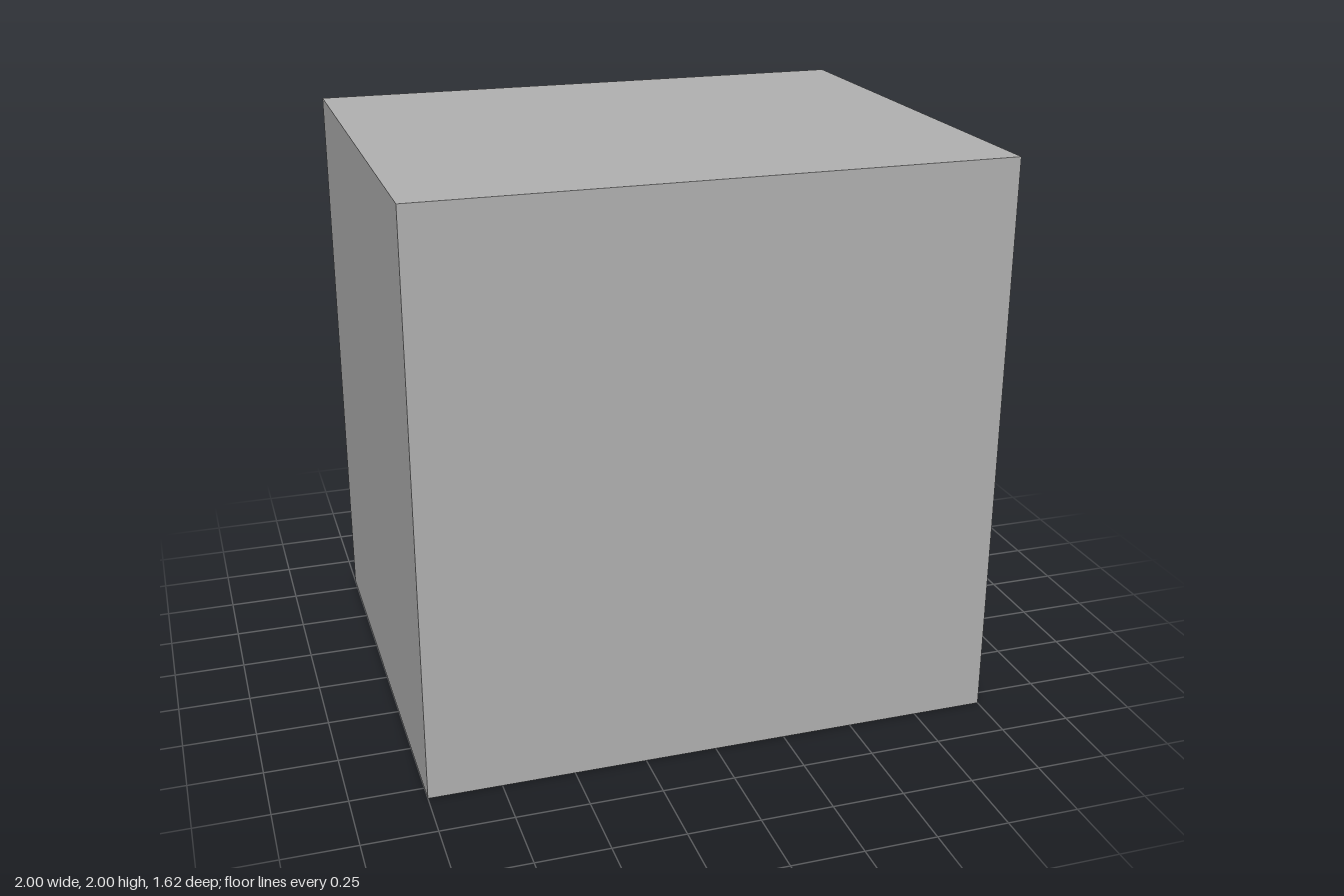
import * as THREE from 'three';

export function createModel() {
  const model = new THREE.Group();
  model.name = 'cabinet';
  const grey = new THREE.MeshStandardMaterial({ color: 0xb2b2b2, side: THREE.DoubleSide });
  grey.name = 'plainGrey';

  const T = 0.125;             // wall thickness
  const H = 2, W = 1, D = 0.8125; // height, half width, half depth
  const inX = W - T, inZ = D - T; // inner half width, inner front wall

  const add = (name, geometry, x, y, z) => {
    const mesh = new THREE.Mesh(geometry, grey);
    mesh.name = name;
    mesh.position.set(x, y, z);
    model.add(mesh);
  };
  // Single-skin panels facing z, x and y
  const panelZ = (name, w, y0, y1, z) =>
    add(name, new THREE.PlaneGeometry(w, y1 - y0), 0, (y0 + y1) / 2, z);
  const panelX = (name, x, y0, y1, z0, z1, turn) =>
    add(name, new THREE.PlaneGeometry(z1 - z0, y1 - y0).rotateY(turn * Math.PI / 2),
      x, (y0 + y1) / 2, (z0 + z1) / 2);
  const panelY = (name, w, y, z0, z1, turn) =>
    add(name, new THREE.PlaneGeometry(w, z1 - z0).rotateX(-turn * Math.PI / 2),
      0, y, (z0 + z1) / 2);

  // Outer shell, open underneath
  panelZ('frontPanel', 2 * W, 0, H, D);
  panelY('topPanel', 2 * W, H, -D, D, 1);

  // Outer and inner side walls; the inner ones reach the ground
  for (const [side, s] of [['left', 1], ['right', -1]]) {
    panelX(side + 'OuterWall', s * W, 0, H, -D, D, s);
    panelX(side + 'InnerWall', s * inX, 0, H - T, -D, inZ, -s);
  }

  // Lining of the compartment
  panelY('compartmentFloor', 2 * inX, T, -D, inZ, 1);
  panelY('compartmentCeiling', 2 * inX, H - T, -D, inZ, -1);
  add('compartmentEndWall', new THREE.PlaneGeometry(2 * inX, H - 2 * T).rotateY(Math.PI), 0, H / 2, inZ);

  // Frame around the open back
  const rect = (path, x, y0, y1) =>
    path.moveTo(-x, y0).lineTo(x, y0).lineTo(x, y1).lineTo(-x, y1).closePath();
  const frame = new THREE.Shape();
  rect(frame, W, 0, H);
  const opening = new THREE.Path();
  rect(opening, inX, T, H - T);
  frame.holes.push(opening);
  add('backFrame', new THREE.ShapeGeometry(frame).rotateY(Math.PI), 0, 0, -D);

  // Two shelves set in from the opening
  const shelfBack = -D + 0.375;
  for (const [name, y] of [['lowerShelf', 0.625], ['upperShelf', 1.25]]) {
    add(name, new THREE.BoxGeometry(2 * inX, T, inZ - shelfBack), 0, y + T / 2, (inZ + shelfBack) / 2);
  }
  return model;
}
